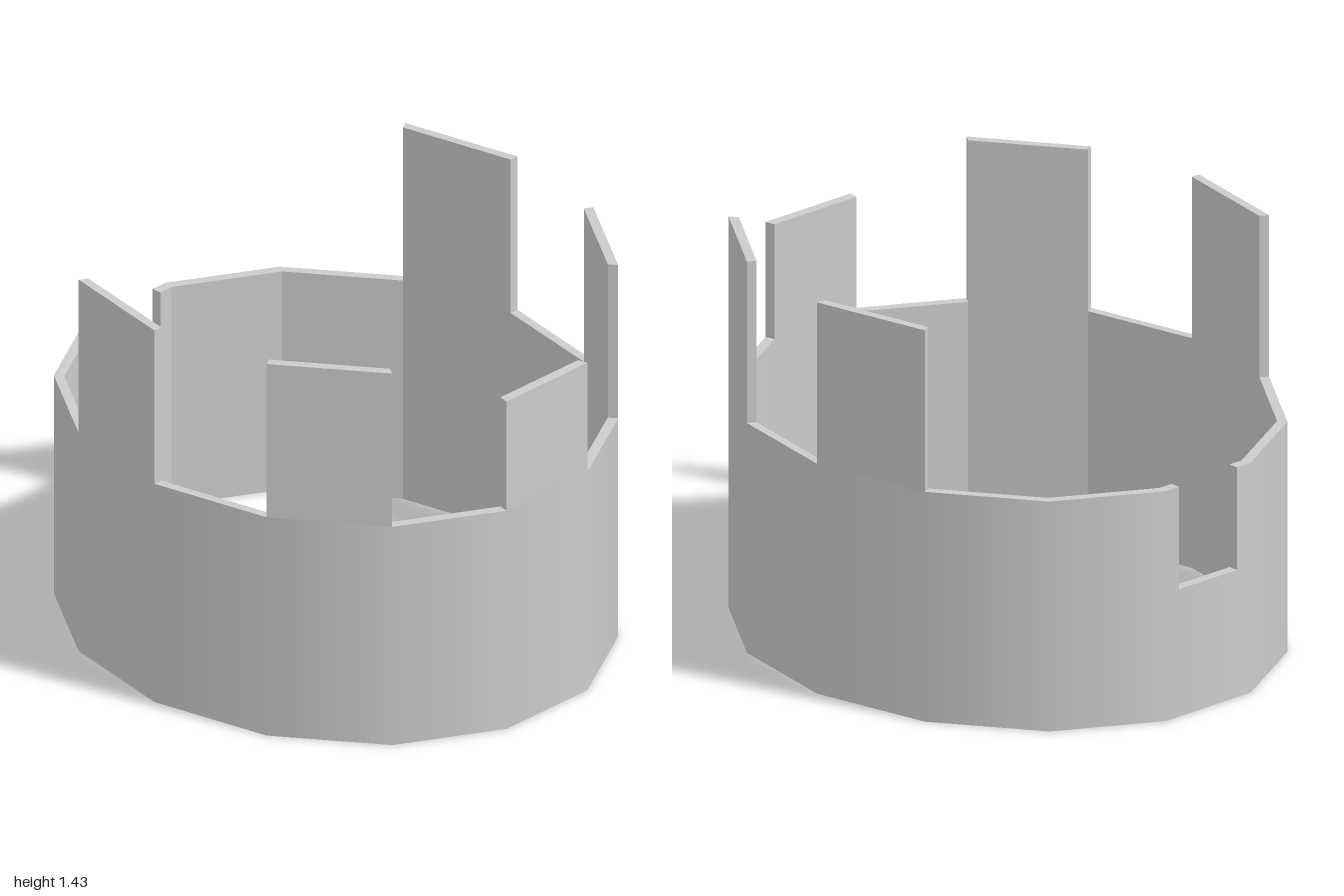
import * as THREE from 'three';

const SIDES = 14, RX = 0.89, RZ = 1.026, INNER = 0.963;
const WALL = 0.84, NOTCH_Y = 0.465, NOTCH_X = 0.135;

// A ring point: matching outer and inner corners in plan
const point = (x, z, xi = x * INNER) => ({ o: [x, z], i: [xi, z * INNER] });
const corner = (k) => {
  const t = (k % SIDES) / SIDES * Math.PI * 2;
  return point(RX * Math.cos(t), RZ * Math.sin(t));
};

// Collects quads, flat by default, or smooth around the oval
class Surface {
  constructor() { this.pos = []; this.nor = []; }
  quad(a, b, c, d, smooth = false) {
    const flat = b.clone().sub(a).cross(c.clone().sub(a)).normalize();
    for (const v of [a, b, c, a, c, d]) {
      const n = smooth ? new THREE.Vector3(v.x / RX ** 2, 0, v.z / RZ ** 2).normalize() : flat;
      this.pos.push(v.x, v.y, v.z);
      this.nor.push(n.x, n.y, n.z);
    }
  }
  mesh(name) {
    const g = new THREE.BufferGeometry();
    g.setAttribute('position', new THREE.Float32BufferAttribute(this.pos, 3));
    g.setAttribute('normal', new THREE.Float32BufferAttribute(this.nor, 3));
    const m = new THREE.Mesh(g, new THREE.MeshStandardMaterial({ color: 0xcccccc }));
    m.name = name;
    return m;
  }
}

// One straight stretch of wall from p to q; startY/endY give where an exposed end face begins
function panel(s, p, q, y0, y1, { smooth, top, bottom, startY, endY }) {
  const at = ([x, z], y) => new THREE.Vector3(x, y, z);
  s.quad(at(q.o, y0), at(p.o, y0), at(p.o, y1), at(q.o, y1), smooth);
  s.quad(at(p.i, y0), at(q.i, y0), at(q.i, y1), at(p.i, y1));
  if (top) s.quad(at(p.o, y1), at(p.i, y1), at(q.i, y1), at(q.o, y1));
  if (bottom) s.quad(at(q.o, y0), at(q.i, y0), at(p.i, y0), at(p.o, y0));
  if (startY !== undefined) s.quad(at(p.o, startY), at(p.i, startY), at(p.i, y1), at(p.o, y1));
  if (endY !== undefined) s.quad(at(q.i, endY), at(q.o, endY), at(q.o, y1), at(q.i, y1));
}

export function createModel() {
  const group = new THREE.Group();
  group.name = 'notchedRing';

  // Upright tabs: side index -> [name, top height]
  const tabs = {
    1: ['frontLeftTab', 1.43], 3: ['frontTab', 1.26], 5: ['frontRightTab', 1.43],
    7: ['backRightTab', 1.43], 13: ['backLeftTab', 1.43],
  };
  const BACK = 10;

  // Oval wall, with a notch cut in the back side
  const wall = new Surface();
  for (let k = 0; k < SIDES; k++) {
    const p = corner(k), q = corner(k + 1);
    const base = { smooth: true, top: !tabs[k], bottom: true };
    if (k === BACK) {
      const a = point(-NOTCH_X, p.o[1], -NOTCH_X), b = point(NOTCH_X, p.o[1], NOTCH_X);
      panel(wall, p, a, 0, WALL, { ...base, endY: NOTCH_Y });
      panel(wall, a, b, 0, NOTCH_Y, base);
      panel(wall, b, q, 0, WALL, { ...base, startY: NOTCH_Y });
    } else panel(wall, p, q, 0, WALL, base);
  }
  group.add(wall.mesh('ringWall'));

  // Flat tabs rising from the rim
  for (const [k, [name, height]] of Object.entries(tabs)) {
    const s = new Surface();
    panel(s, corner(+k), corner(+k + 1), WALL, height, { top: true, startY: WALL, endY: WALL });
    group.add(s.mesh(name));
  }
  return group;
}
